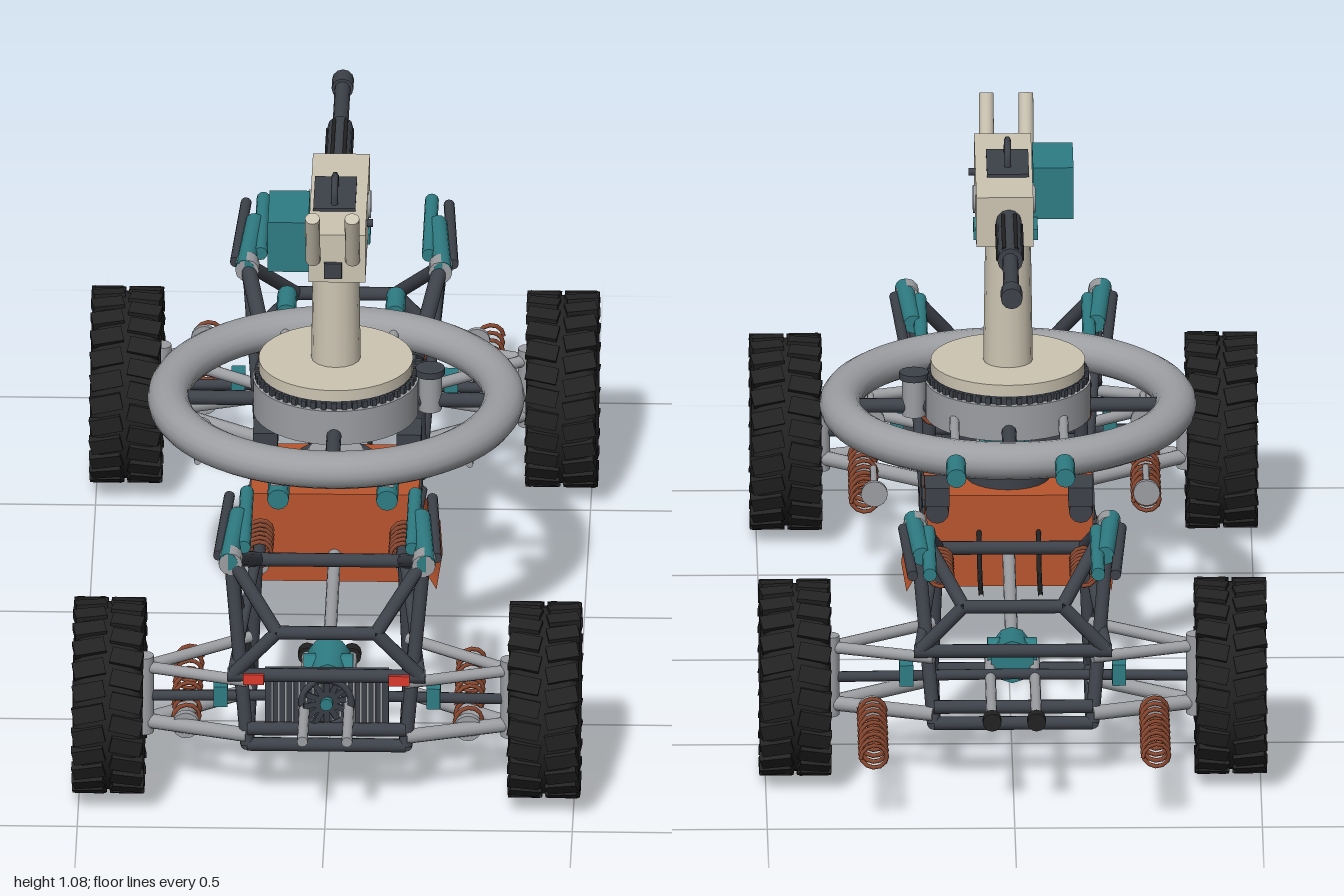
import * as THREE from 'three';
import { mergeGeometries } from 'three/addons/utils/BufferGeometryUtils.js';

const paint = (name, color, side = THREE.FrontSide) => {
  const m = new THREE.MeshStandardMaterial({ color, side });
  m.name = name;
  return m;
};
const M = {
  rubber: paint('tyre black', 0x222222),
  frame: paint('frame slate', 0x3d4149),
  steel: paint('light steel', 0x9c9ea2),
  beige: paint('sand beige', 0xcdc5b3),
  teal: paint('teal', 0x2f7d84),
  orange: paint('engine orange', 0xb9552f),
  rust: paint('spring rust', 0x8a4830),
  red: paint('lamp red', 0xdd3a2c),
};
const UP = new THREE.Vector3(0, 1, 0);
const V = (a) => new THREE.Vector3(...a);

function createModel() {
  const root = new THREE.Group();
  root.name = 'gunBuggy';
  let parent = root;

  const add = (name, geo, mat, p = [0, 0, 0]) => {
    const m = new THREE.Mesh(geo, mat);
    m.name = name;
    m.position.set(...p);
    parent.add(m);
    return m;
  };
  const box = (name, mat, p, s) => add(name, new THREE.BoxGeometry(...s), mat, p);
  const bar = (name, mat, a, b, r, r2 = r, seg = 12) => {
    const d = V(b).sub(V(a));
    const m = add(name, new THREE.CylinderGeometry(r2, r, d.length(), seg), mat);
    m.position.copy(V(a).add(V(b)).multiplyScalar(0.5));
    m.quaternion.setFromUnitVectors(UP, d.normalize());
    return m;
  };
  const cable = (name, mat, pts, r, seg = 24) =>
    add(name, new THREE.TubeGeometry(new THREE.CatmullRomCurve3(pts.map(V)), seg, r, 6), mat);
  const group = (name, build) => {
    const outer = parent;
    const g = new THREE.Group();
    g.name = name;
    outer.add(g);
    parent = g;
    build(g);
    parent = outer;
    return g;
  };
  // Coil spring lying along z
  const spring = (name, x, y, z0, z1, r, turns) => {
    const pts = [];
    for (let i = 0; i <= turns * 10; i++) {
      const a = (i / 10) * Math.PI * 2;
      pts.push([x + r * Math.cos(a), y + r * Math.sin(a), z0 + (z1 - z0) * i / (turns * 10)]);
    }
    cable(name, M.rust, pts, 0.0045, turns * 12);
  };

  // Wheel geometry, axis along x with the outer face at +x
  const tyre = new THREE.LatheGeometry(
    [[0.113, -0.055], [0.15, -0.071], [0.182, -0.068], [0.19, -0.05], [0.19, 0.05],
      [0.182, 0.068], [0.15, 0.071], [0.113, 0.055], [0.113, -0.055]].map((p) => new THREE.Vector2(...p)), 48);
  tyre.rotateZ(-Math.PI / 2);
  const lugs = [];
  for (let i = 0; i < 26; i++) {
    for (const s of [-1, 1]) {
      const lug = new THREE.BoxGeometry(0.064, 0.022, 0.034);
      lug.rotateY(s * 0.2);
      lug.translate(s * 0.038, 0.187, 0);
      lug.rotateX(((i + (s > 0 ? 0.5 : 0)) / 26) * Math.PI * 2);
      lugs.push(lug);
    }
  }
  const tread = mergeGeometries(lugs);
  const face = new THREE.Shape();
  face.absarc(0, 0, 0.114, 0, Math.PI * 2);
  for (let i = 0; i < 6; i++) {
    const a = (i / 6) * Math.PI * 2;
    const h = new THREE.Path();
    h.absarc(0, 0, 0.092, a - 0.33, a + 0.33, false);
    h.absarc(0, 0, 0.044, a + 0.2, a - 0.2, true);
    h.closePath();
    face.holes.push(h);
  }
  const rim = new THREE.ExtrudeGeometry(face, { depth: 0.012, bevelEnabled: false, curveSegments: 16 });
  rim.rotateY(Math.PI / 2);

  const wheel = (s, z) => group('wheel', (g) => {
    g.position.set(s * 0.44, 0.2, z);
    if (s < 0) g.rotation.y = Math.PI;
    add('tyre', tyre, M.rubber);
    add('tread', tread, M.rubber);
    add('rimFace', rim, M.steel, [0.028, 0, 0]);
    bar('rimBack', M.steel, [-0.045, 0, 0], [0.005, 0, 0], 0.114, 0.114, 32);
    bar('brakeDisc', M.frame, [0.005, 0, 0], [0.015, 0, 0], 0.085, 0.085, 24);
    box('brakeCaliper', M.orange, [0.035, 0.09, 0], [0.025, 0.028, 0.04]);
    bar('hubCap', M.teal, [0.01, 0, 0], [0.06, 0, 0], 0.024, 0.02, 10);
  });

  // Tubular subframe with suspension arms; zi faces the middle of the vehicle
  const axle = (name, zi, zo, zt, zw, dz) => group(name, () => {
    const f = (a, b, r = 0.014) => bar('frameTube', M.frame, a, b, r);
    for (const s of [-1, 1]) {
      const top = [s * 0.195, 0.505, zt];
      f([s * 0.16, 0.125, zi], [s * 0.16, 0.125, zo]);
      f([s * 0.16, 0.125, zi], [s * 0.15, 0.385, zi]);
      f([s * 0.16, 0.125, zo], top);
      f([s * 0.15, 0.385, zi], top, 0.016);
      f([s * 0.1, 0.375, zo], top);
      f([s * 0.1, 0.375, zo], [s * 0.19, 0.28, zo]);
      f([s * 0.16, 0.125, zi], top, 0.011);
      f([s * 0.15, 0.385, zi], [s * 0.19, 0.28, zo], 0.011);
      bar('shockMount', M.steel, [s * 0.195, 0.5, zt - 0.02], [s * 0.195, 0.5, zt + 0.02], 0.024);
      // Wishbones, hub carrier and track rod
      for (const [y, r] of [[0.145, 0.015], [0.265, 0.012]]) {
        for (const z of [zi + (zo - zi) * 0.35, zo])
          bar('wishbone', M.steel, [s * 0.16, y, z], [s * 0.37, y, zw], r);
      }
      bar('hubCarrier', M.steel, [s * 0.37, 0.12, zw], [s * 0.37, 0.29, zw], 0.02);
      bar('driveAxle', M.frame, [0, 0.205, zw], [s * 0.4, 0.2, zw], 0.011);
      box('axleJoint', M.teal, [s * 0.215, 0.21, zw], [0.028, 0.045, 0.05]);
      bar('springPerch', M.steel, [s * 0.285, 0.145, dz + 0.3], [s * 0.285, 0.145, dz + 0.315], 0.028, 0.028, 16);
      // Horizontal shock absorbers and coil springs
      bar('shockBody', M.teal, [s * 0.2, 0.505, zt + 0.02], [s * 0.185, 0.505, zt - 0.2], 0.019);
      bar('shockReservoir', M.teal, [s * 0.17, 0.505, zt - 0.05], [s * 0.17, 0.505, zt - 0.31], 0.014);
      bar('shockRod', M.frame, [s * 0.22, 0.5, zt - 0.02], [s * 0.205, 0.5, zt - 0.3], 0.011);
      spring('mainSpring', s * 0.285, 0.15, dz, dz + 0.31, 0.027, 9);
      const zs = name === 'frontAxle' ? 0.4 : -0.56;
      spring('upperSpring', s * 0.145, 0.38, zs, zs + 0.12, 0.025, 6);
      bar('upperDamper', M.frame, [s * 0.145, 0.38, zs], [s * 0.145, 0.38, zs + 0.14], 0.013);
      bar('tailPipe', M.steel, [s * 0.045, 0.2, dz + 0.1], [s * 0.045, 0.2, dz + 0.5], 0.011);
      bar('tailPipeTip', M.rubber, [s * 0.045, 0.2, dz + 0.075], [s * 0.045, 0.2, dz + 0.1], 0.019);
      wheel(s, zw);
    }
    for (const [y, z, w] of [[0.125, zi, 0.16], [0.125, zo, 0.16], [0.385, zi, 0.15],
      [0.375, zo, 0.1], [0.28, zo, 0.2], [0.16, zo, 0.16]])
      f([-w, y, z], [w, y, z]);
    const zd = zi + (zo - zi) * 0.48;
    bar('differential', M.teal, [0, 0.215, zd - 0.055], [0, 0.215, zd + 0.055], 0.045, 0.036, 10);
    bar('differentialCross', M.teal, [-0.05, 0.215, zd], [0.05, 0.215, zd], 0.032, 0.032, 10);
  });
  axle('frontAxle', 0.545, 0.865, 0.79, 0.8, 0.51);
  axle('rearAxle', -0.4, -0.72, -0.58, -0.65, -1.0);

  // Radiator, fan and front lamps
  group('radiator', () => {
    box('radiatorCore', M.frame, [0, 0.215, 0.825], [0.25, 0.12, 0.02]);
    for (let i = -8; i <= 8; i++) box('radiatorFin', M.steel, [i * 0.0138, 0.215, 0.838], [0.005, 0.11, 0.008]);
    add('fanRing', new THREE.TorusGeometry(0.05, 0.007, 8, 28), M.frame, [0, 0.215, 0.855]);
    for (let i = 0; i < 6; i++) {
      const b = box('fanBlade', M.frame, [0, 0.215, 0.855], [0.012, 0.1, 0.005]);
      b.rotation.set(0, 0.4, i * Math.PI / 6);
    }
    bar('fanHub', M.teal, [0, 0.215, 0.84], [0, 0.215, 0.868], 0.013);
    for (const s of [-1, 1]) box('lamp', M.red, [s * 0.147, 0.278, 0.882], [0.042, 0.022, 0.008]);
  });

  // Engine with louvred sides, filter and drive shafts
  group('engine', () => {
    box('engineBlock', M.orange, [0, 0.268, 0.08], [0.34, 0.195, 0.235]);
    for (const s of [-1, 1]) {
      const fin = bar('engineSkirt', M.orange, [s * 0.165, 0.25, 0.08], [s * 0.207, 0.175, 0.08], 0.01, 0.01, 4);
      fin.scale.z = 16;
      for (let i = 0; i < 6; i++) box('louvre', M.frame, [s * 0.171, 0.2 + i * 0.027, 0.08], [0.006, 0.005, 0.2]);
      bar('intake', M.frame, [s * 0.145, 0.345, -0.08], [s * 0.145, 0.345, 0], 0.024);
      box('intakeCover', M.frame, [s * 0.145, 0.38, -0.05], [0.05, 0.04, 0.08]);
      bar('muffler', M.steel, [s * 0.15, 0.283, 0.25], [s * 0.15, 0.283, 0.36], 0.022);
      bar('mufflerPipe', M.frame, [s * 0.175, 0.283, 0], [s * 0.15, 0.283, 0.38], 0.008);
    }
    bar('filterBase', M.frame, [0, 0.36, 0.08], [0, 0.39, 0.08], 0.085, 0.085, 24);
    bar('filterTop', M.steel, [0, 0.39, 0.08], [0, 0.41, 0.08], 0.07, 0.055, 24);
    bar('rearDriveShaft', M.steel, [0, 0.24, -0.03], [0, 0.22, -0.55], 0.013);
    bar('frontDriveShaft', M.steel, [0, 0.23, 0.19], [0, 0.22, 0.7], 0.013);
    for (const x of [-0.06, 0.06])
      cable('fuelLine', M.rubber, [[x, 0.29, -0.03], [x, 0.25, -0.14], [x, 0.255, -0.28], [x, 0.28, -0.4]], 0.005);
  });

  // Ring platform carrying the turntable
  group('ringPlatform', () => {
    const ring = new THREE.TorusGeometry(0.339, 0.042, 16, 64);
    ring.rotateX(Math.PI / 2);
    ring.scale(1, 0.9, 1);
    add('ring', ring, M.steel, [0, 0.523, 0.073]);
    for (const s of [-1, 1]) {
      bar('crossSpoke', M.frame, [0, 0.52, 0.073], [s * 0.33, 0.52, 0.073], 0.015);
      bar('longSpoke', M.frame, [0, 0.52, 0.073], [0, 0.52, 0.073 + s * 0.33], 0.015);
      bar('rearPiston', M.teal, [s * 0.11, 0.53, -0.39], [s * 0.11, 0.53, -0.3], 0.02);
      bar('rearPistonRod', M.steel, [s * 0.11, 0.53, -0.3], [s * 0.11, 0.53, -0.02], 0.01);
      bar('frontPiston', M.teal, [s * 0.11, 0.43, 0.25], [s * 0.11, 0.43, 0.36], 0.022);
      box('ringBracket', M.steel, [s * 0.1, 0.495, 0.37], [0.05, 0.04, 0.04]);
      for (const z of [-0.31, 0.12]) {
        bar('pushRod', M.steel, [s * 0.275, 0.47, z], [s * 0.275, 0.47, z + 0.15], 0.007);
        bar('pushRodDisc', M.steel, [s * 0.275, 0.47, z - 0.005], [s * 0.275, 0.47, z + 0.005], 0.027, 0.027, 16);
      }
    }
    const disc = (n, m, y0, y1, r, r2 = r) => bar(n, m, [0, y0, 0.08], [0, y1, 0.08], r, r2, 40);
    disc('bearing', M.steel, 0.5, 0.575, 0.168);
    disc('gearRing', M.frame, 0.575, 0.592, 0.156);
    for (let i = 0; i < 48; i++) {
      const a = (i / 48) * Math.PI * 2;
      const t = box('gearTooth', M.frame, [Math.sin(a) * 0.158, 0.583, 0.08 + Math.cos(a) * 0.158], [0.01, 0.014, 0.012]);
      t.rotation.y = a;
    }
    disc('turntable', M.beige, 0.592, 0.616, 0.156);
    bar('pinion', M.frame, [0.19, 0.578, 0.073], [0.19, 0.592, 0.073], 0.03, 0.03, 16);
    bar('pinionMotor', M.steel, [0.19, 0.5, 0.073], [0.19, 0.578, 0.073], 0.024);
    bar('column', M.beige, [0, 0.616, 0.078], [0, 0.89, 0.078], 0.05, 0.046, 16);
  });

  // Swivel gun aimed at the rear
  group('gun', () => {
    box('cradle', M.teal, [0.005, 0.897, 0.078], [0.13, 0.022, 0.075]);
    box('receiver', M.beige, [0.008, 0.957, 0.14], [0.115, 0.106, 0.38]);
    box('feedCover', M.frame, [0, 1.012, 0.145], [0.085, 0.009, 0.15]);
    box('ammoBox', M.teal, [-0.092, 0.955, 0.2], [0.082, 0.11, 0.15]);
    for (const s of [-1, 1]) {
      bar('pivotDisc', M.steel, [s * 0.055 + 0.008, 0.96, 0.08], [s * 0.063 + 0.008, 0.96, 0.08], 0.028, 0.028, 20);
      bar('grip', M.beige, [s * 0.04, 0.955, 0.335], [s * 0.04, 1.075, 0.39], 0.015);
    }
    box('triggerPlate', M.frame, [0, 0.932, 0.333], [0.036, 0.034, 0.009]);
    cable('carryHandle', M.frame, [[0, 1.01, 0.2], [0, 1.04, 0.195], [0, 1.056, 0.16], [0, 1.04, 0.12], [0, 1.01, 0.115]], 0.007);
    bar('cockingLever', M.frame, [0.065, 0.975, 0.2], [0.078, 0.975, 0.2], 0.008);
    bar('barrelJacket', M.frame, [0, 0.958, -0.05], [0, 0.958, -0.28], 0.026);
    for (let i = 0; i < 6; i++) {
      const a = (i / 6) * Math.PI * 2;
      bar('jacketRib', M.rubber, [Math.cos(a) * 0.024, 0.958 + Math.sin(a) * 0.024, -0.07],
        [Math.cos(a) * 0.024, 0.958 + Math.sin(a) * 0.024, -0.27], 0.005, 0.005, 6);
    }
    bar('barrel', M.frame, [0, 0.958, -0.28], [0, 0.958, -0.47], 0.016);
    bar('muzzle', M.frame, [0, 0.958, -0.46], [0, 0.958, -0.505], 0.022);
  });
  return root;
}

export { createModel };
